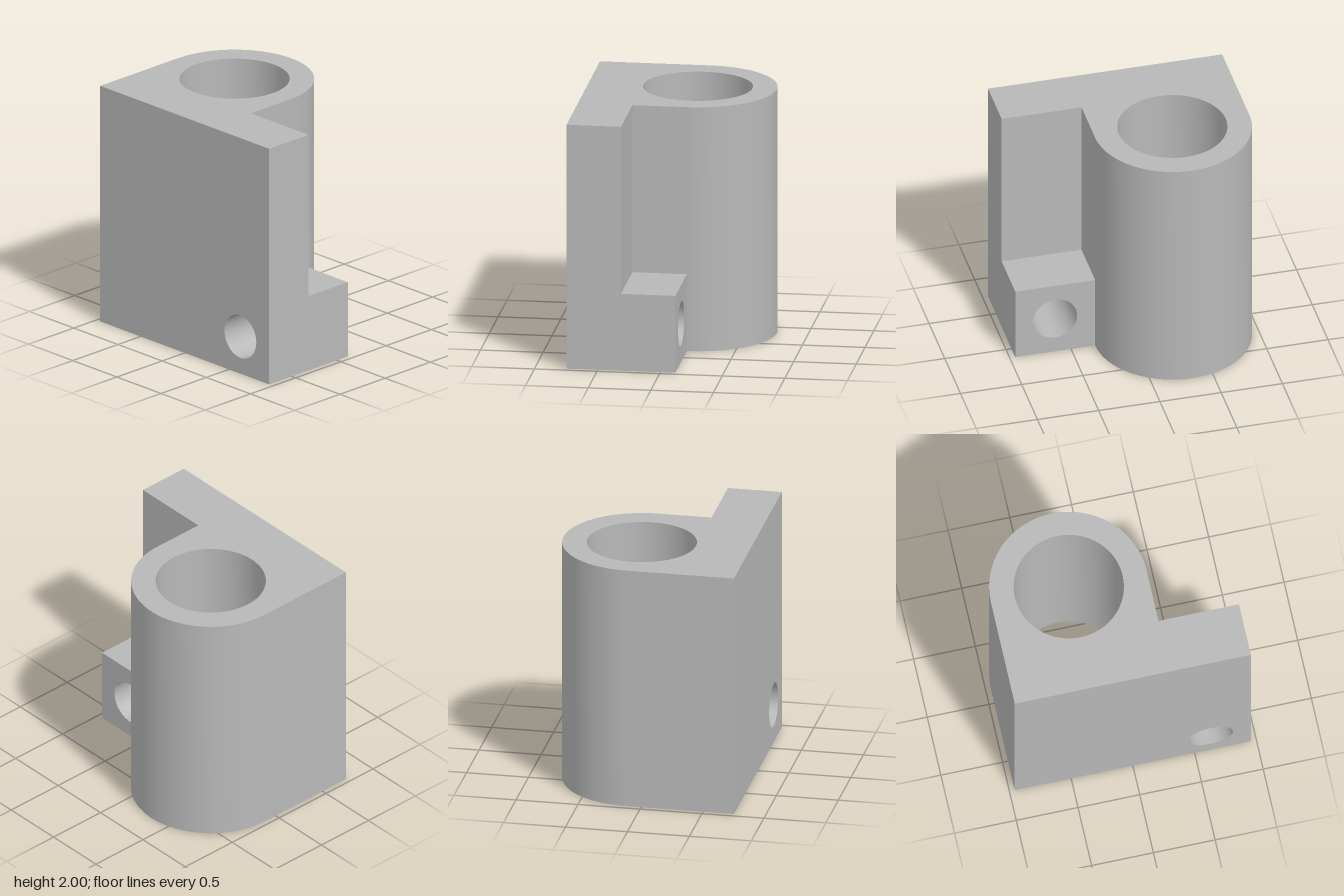
import * as THREE from 'three';
import { toCreasedNormals } from 'three/addons/utils/BufferGeometryUtils.js';

const LEFT = -0.75, STEP = -0.315, AXIS_X = 0.12;   // x stations
const FRONT = 0.955, INNER = 0.303;                 // z stations
const AXIS_Z = -0.327, OUTER_R = 0.63, BORE_R = 0.436;
const HEIGHT = 2, FOOT_HEIGHT = 0.63;

export function createModel() {
  const group = new THREE.Group();
  const grey = new THREE.MeshStandardMaterial({ color: 0xb8b8b8 });
  grey.name = 'plain grey';

  function addPart(name, shape, depth) {
    const raw = new THREE.ExtrudeGeometry(shape, { depth, bevelEnabled: false, curveSegments: 32 });
    const mesh = new THREE.Mesh(toCreasedNormals(raw, 0.6), grey);
    mesh.name = name;
    group.add(mesh);
    return mesh;
  }

  function addHole(shape, x, y, r) {
    shape.holes.push(new THREE.Path().absarc(x, y, r, 0, Math.PI * 2, true));
  }

  // Upright sleeve: square on the right, half round on the left, bored through
  const plan = new THREE.Shape();
  plan.moveTo(LEFT, -INNER);
  plan.lineTo(AXIS_X, -INNER);
  plan.absarc(AXIS_X, -AXIS_Z, OUTER_R, -Math.PI / 2, Math.PI / 2, false);
  plan.lineTo(LEFT, -AXIS_Z + OUTER_R);
  plan.closePath();
  addHole(plan, AXIS_X, -AXIS_Z, BORE_R);
  addPart('sleeveBody', plan, HEIGHT).rotation.x = -Math.PI / 2;

  // Mounting plates in front of the sleeve, sharing one cross hole
  function addPlate(name, x0, x1, height) {
    const side = new THREE.Shape();
    side.moveTo(-FRONT, 0);
    side.lineTo(-INNER, 0);
    side.lineTo(-INNER, height);
    side.lineTo(-FRONT, height);
    side.closePath();
    addHole(side, -0.63, 0.315, 0.18);
    const mesh = addPart(name, side, x1 - x0);
    mesh.rotation.y = Math.PI / 2;
    mesh.position.x = x0;
  }
  addPlate('tallWall', LEFT, STEP, HEIGHT);
  addPlate('footBlock', STEP, AXIS_X, FOOT_HEIGHT);

  return group;
}
